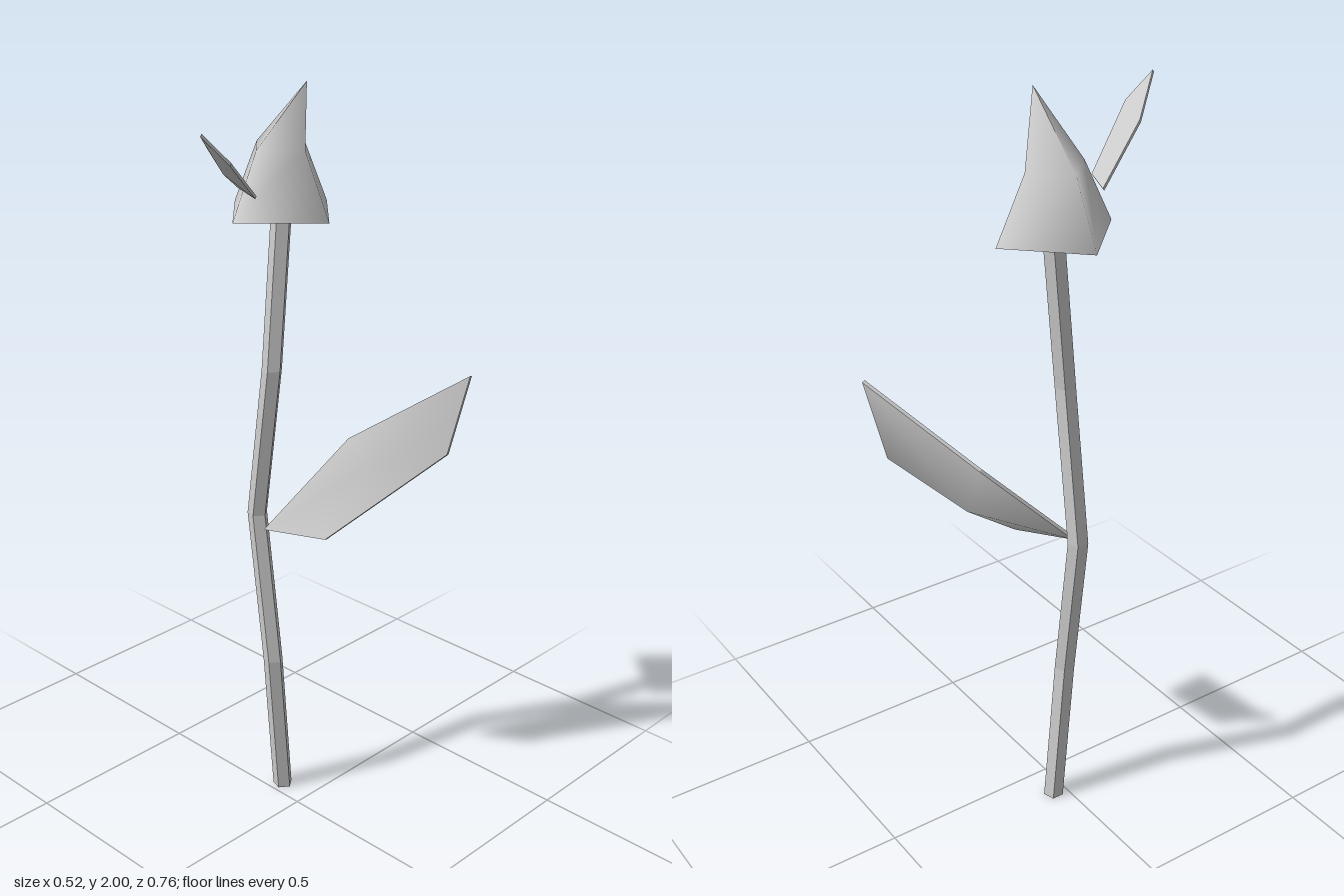
import * as THREE from 'three';
import { mergeGeometries } from 'three/addons/utils/BufferGeometryUtils.js';

const grey = (options = {}) => new THREE.MeshStandardMaterial({ color: 0xcccccc, ...options });

function named(name, geometry, material) {
  const mesh = new THREE.Mesh(geometry, material);
  mesh.name = name;
  return mesh;
}

// Indexed geometry with smooth normals from a few points
function surface(points, index) {
  const g = new THREE.BufferGeometry();
  g.setAttribute('position', new THREE.Float32BufferAttribute(points.flat(), 3));
  g.setIndex(index);
  g.computeVertexNormals();
  return g;
}

// Leaf: five-cornered face, thin edge, and a back side that rises to a keel point
function leaf(name, rim, centre, keel, thickness) {
  const n = rim.length;
  const back = rim.map(p => p.map((v, k) => v + thickness[k]));
  const face = [], rear = [], edges = [];
  for (let i = 0; i < n; i++) {
    const j = (i + 1) % n;
    face.push(i, j, n);
    rear.push(j, i, n);
    edges.push(surface([rim[i], rim[j], back[i], back[j]], [0, 2, 3, 0, 3, 1]));
  }
  const parts = [surface([...rim, centre], face), surface([...back, keel], rear), ...edges];
  return named(name, mergeGeometries(parts), grey({ side: THREE.DoubleSide }));
}

// Five-sided stem that wanders from level to level
function stem() {
  const path = [[-0.095, 0, -0.038], [-0.095, 0.425, -0.003], [-0.153, 0.85, -0.005], [-0.095, 1.27, -0.006], [-0.095, 1.676, -0.043]];
  const g = new THREE.CylinderGeometry(0.0275, 0.0275, 1, 5, 4, false, Math.PI / 2);
  const p = g.attributes.position;
  for (let i = 0; i < p.count; i++) {
    const [x, y, z] = path[Math.round((p.getY(i) + 0.5) * 4)];
    p.setXYZ(i, p.getX(i) + x, y, p.getZ(i) + z);
  }
  return named('stem', g, grey({ flatShading: true }));
}

// Four-sided bell with its tip bent to the side
function flower() {
  const cx = -0.096, cz = -0.04;
  const ring = (r, y) => [0, 1, 2, 3].map(i => {
    const a = i * Math.PI / 2;
    return [cx + r * Math.sin(a), y, cz + r * Math.cos(a)];
  });
  const base = ring(0.164, 1.673), middle = ring(0.083, 1.835);
  const tip = [-0.008, 2, cz];
  const index = [];
  for (let i = 0; i < 4; i++) {
    const j = (i + 1) % 4;
    index.push(i, j, 4 + j, i, 4 + j, 4 + i, 4 + i, 4 + j, 8 + i);
  }
  const sides = surface([...base, ...middle, tip, tip, tip, tip], index);
  const under = surface(base, [0, 2, 1, 0, 3, 2]);
  return named('flower', mergeGeometries([sides, under]), grey());
}

export function createModel() {
  const group = new THREE.Group();
  group.name = 'plant';
  group.add(stem(), flower());

  group.add(leaf('lowerLeaf', [
    [-0.1, 0.827, 0.025], [0.042, 0.816, -0.06], [0.225, 1.032, -0.328],
    [0.257, 1.247, -0.37], [0, 1.053, -0.193],
  ], [0.067, 0.99, -0.195], [0.015, 0.935, -0.23], [-0.002, -0.003, -0.009]));

  group.add(leaf('upperLeaf', [
    [-0.003, 1.757, 0.133], [-0.105, 1.758, 0.09], [-0.05, 1.882, 0.237],
    [0.08, 1.95, 0.376], [0.105, 1.88, 0.313],
  ], [0, 1.851, 0.231], [0, 1.826, 0.24], [0, -0.006, 0.004]));

  return group;
}
